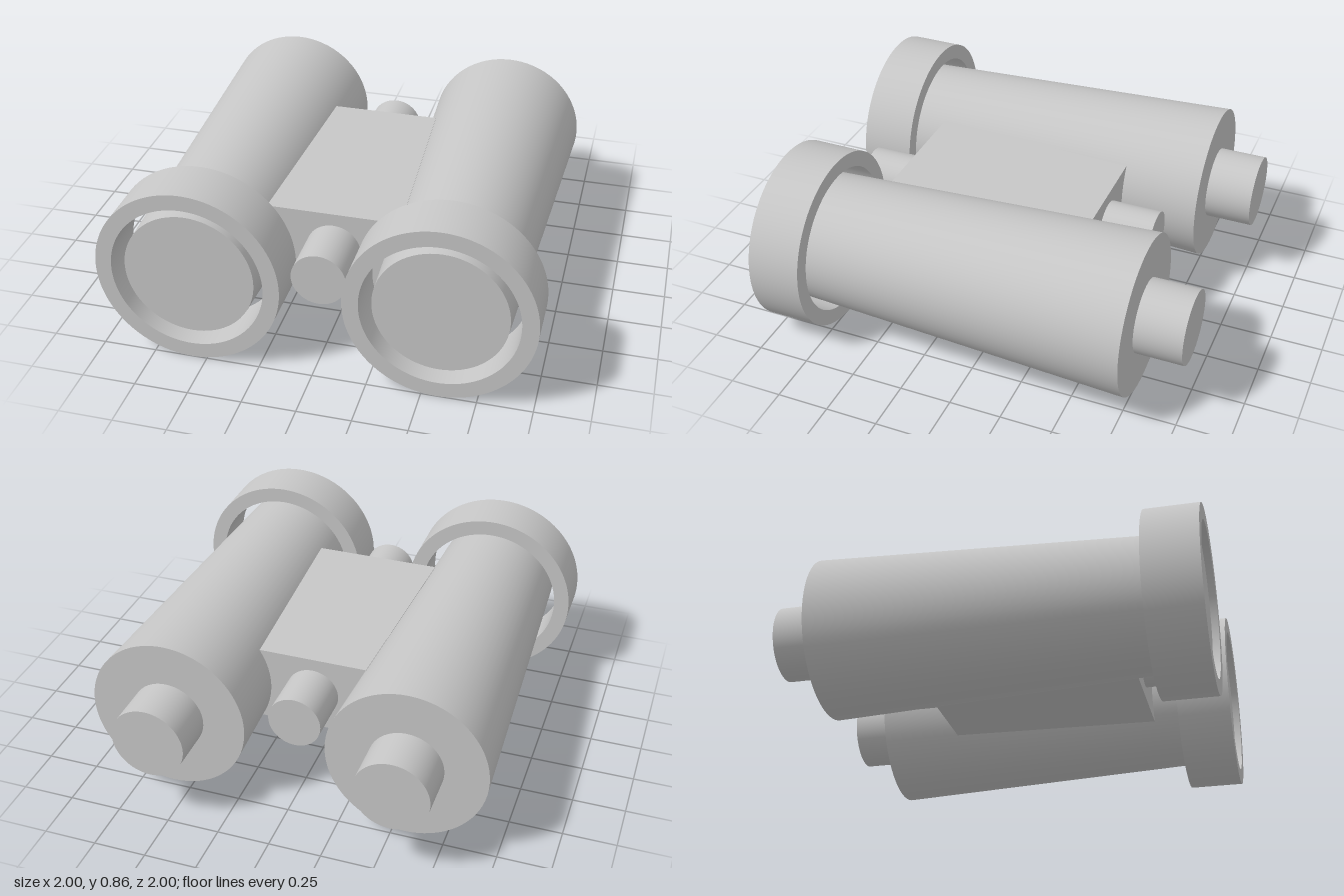
import * as THREE from 'three';
import { toCreasedNormals } from 'three/addons/utils/BufferGeometryUtils.js';

const AXIS_Y = 0.43;
const TUBE_X = 0.57;

export function createModel() {
  const group = new THREE.Group();
  group.name = 'binoculars';
  const grey = new THREE.MeshStandardMaterial({ color: 0xc6c6c6 });
  grey.name = 'light grey';

  const add = (parent, name, geometry, x = 0, y = 0, z = 0) => {
    const mesh = new THREE.Mesh(geometry, grey);
    mesh.name = name;
    mesh.position.set(x, y, z);
    parent.add(mesh);
  };

  // Solid round part along z, from its back end to its front end
  const rod = (backZ, frontZ, backRadius, frontRadius = backRadius) =>
    new THREE.CylinderGeometry(frontRadius, backRadius, frontZ - backZ, 72)
      .rotateX(Math.PI / 2)
      .translate(0, 0, (backZ + frontZ) / 2);

  // Open ring that stands clear of the barrel it surrounds
  const ringShape = new THREE.Shape().absarc(0, 0, 0.43, 0, Math.PI * 2, false);
  ringShape.holes.push(new THREE.Path().absarc(0, 0, 0.355, 0, Math.PI * 2, true));
  const ring = toCreasedNormals(
    new THREE.ExtrudeGeometry(ringShape, { depth: 0.255, bevelEnabled: false, curveSegments: 72 }),
    0.6
  );

  // Two matching optical tubes
  for (const [side, sign] of [['left', 1], ['right', -1]]) {
    const tube = new THREE.Group();
    tube.name = side + 'Tube';
    tube.position.set(sign * TUBE_X, AXIS_Y, 0);
    add(tube, 'barrel', rod(-0.775, 0.97, 0.377, 0.303), 0, 0, 0);
    add(tube, 'eyepiece', rod(-1, -0.77, 0.175), 0, 0, 0);
    add(tube, 'objectiveRing', ring, 0, 0, 0.745);
    group.add(tube);
  }

  // Tapered bridge block, wider at the front
  const plan = new THREE.Shape([
    new THREE.Vector2(-0.262, -0.395),
    new THREE.Vector2(0.262, -0.395),
    new THREE.Vector2(0.312, 0.615),
    new THREE.Vector2(-0.312, 0.615),
  ]);
  const bridge = new THREE.ExtrudeGeometry(plan, { depth: 0.375, bevelEnabled: false });
  bridge.rotateX(Math.PI / 2);
  add(group, 'bridge', bridge, 0, 0.62, 0);

  // Hinge pin through the bridge
  add(group, 'hinge', rod(-0.645, 0.87, 0.127), 0, AXIS_Y + 0.003, 0);

  return group;
}
